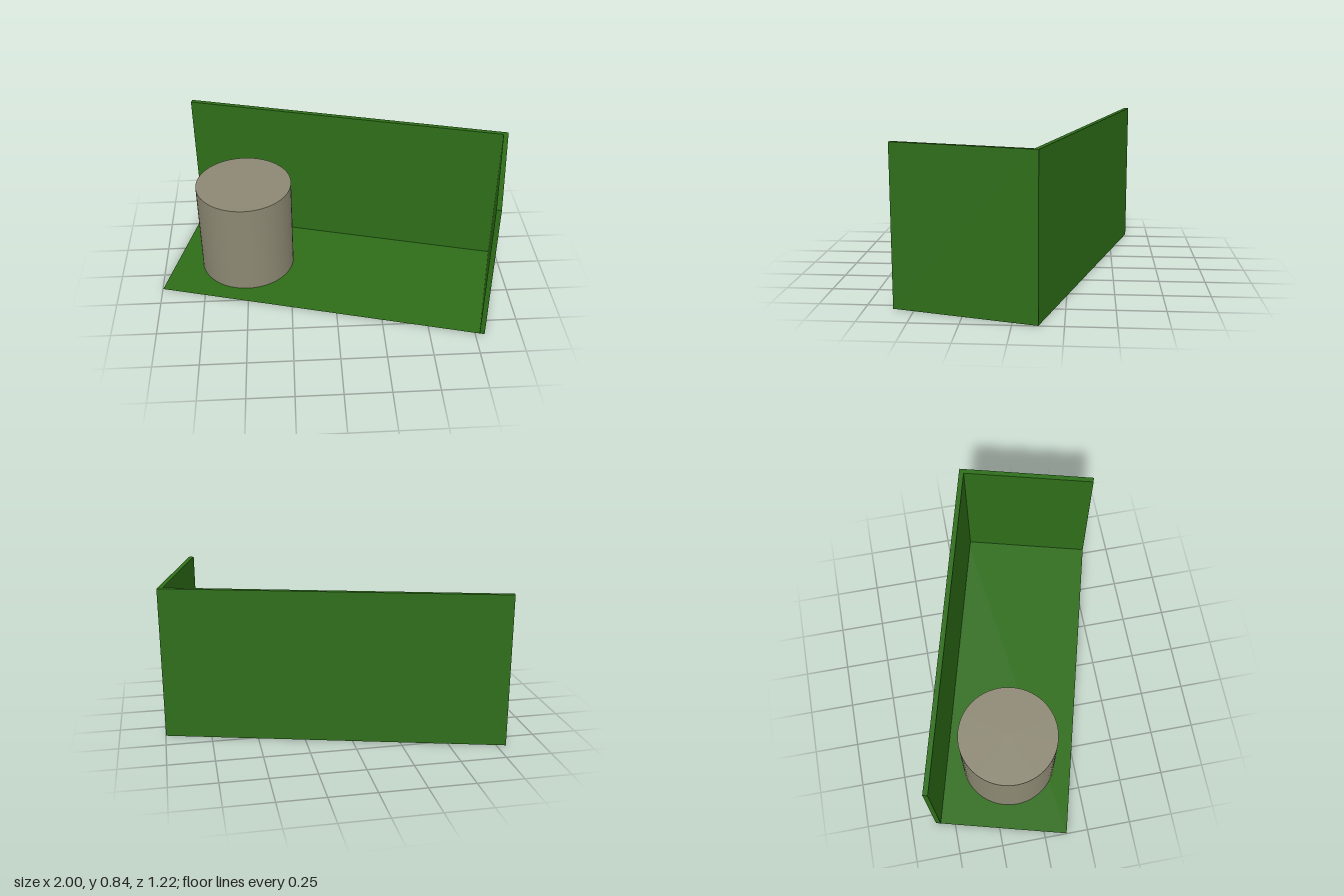
import * as THREE from 'three';

const LENGTH = 1.863, DEPTH = 0.761, HEIGHT = 0.84, WALL = 0.027;

export function createModel() {
  const model = new THREE.Group();
  const green = new THREE.MeshStandardMaterial({ color: 0x2d6d17, side: THREE.DoubleSide });
  const stone = new THREE.MeshStandardMaterial({ color: 0x8c8873 });

  // The whole enclosure is turned 15 degrees about the vertical
  const enclosure = new THREE.Group();
  enclosure.name = 'enclosure';
  enclosure.rotation.y = -THREE.MathUtils.degToRad(15);
  model.add(enclosure);

  const add = (name, geometry, material, x, y, z) => {
    const mesh = new THREE.Mesh(geometry, material);
    mesh.name = name;
    mesh.position.set(x, y, z);
    enclosure.add(mesh);
    return mesh;
  };

  // Paper-thin floor
  add('floor', new THREE.PlaneGeometry(LENGTH, DEPTH).rotateX(-Math.PI / 2), green, 0, 0, 0);

  // Two walls meeting at the back left corner
  add('backWall', new THREE.BoxGeometry(LENGTH, HEIGHT, WALL), green,
    0, HEIGHT / 2, (WALL - DEPTH) / 2);
  add('sideWall', new THREE.BoxGeometry(WALL, HEIGHT, DEPTH - WALL), green,
    (LENGTH - WALL) / 2, HEIGHT / 2, WALL / 2);

  // Round block standing on the floor
  add('cylinder', new THREE.CylinderGeometry(0.273, 0.273, 0.553, 64), stone, -0.52, 0.2765, 0.01);

  return model;
}
